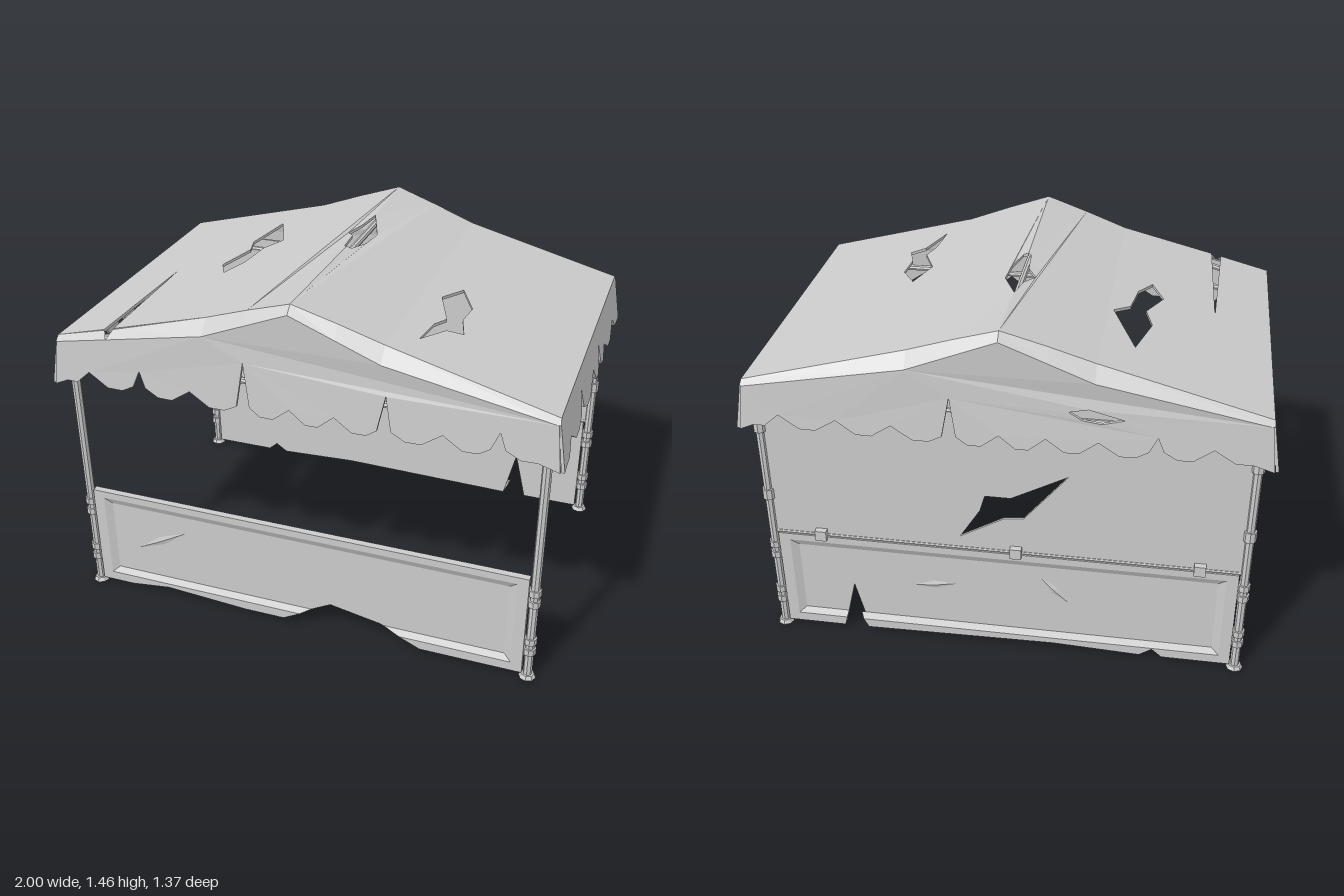
import * as THREE from 'three';

const mat = new THREE.MeshStandardMaterial({ color: 0xcccccc, flatShading: true, side: THREE.DoubleSide });
const V = (x, y, z) => new THREE.Vector3(x, y, z);
const vec2 = (pts) => pts.map(([x, y]) => new THREE.Vector2(x, y));

function add(parent, name, geometry) {
  const mesh = new THREE.Mesh(geometry, mat);
  mesh.name = name;
  parent.add(mesh);
  return mesh;
}

// Thin sheet cut from an outline with holes, then bent by map(u, v, w) -> [x, y, z]
function sheet(outline, holes, depth, map) {
  const shape = new THREE.Shape(vec2(outline));
  holes.forEach((h) => shape.holes.push(new THREE.Path(vec2(h))));
  const g = new THREE.ExtrudeGeometry(shape, { depth, bevelEnabled: false });
  const p = g.attributes.position;
  for (let i = 0; i < p.count; i++) p.setXYZ(i, ...map(p.getX(i), p.getY(i), p.getZ(i)));
  g.computeVertexNormals();
  return g;
}

// Ribbon of quads between two paths of [x, y, z]
function ribbon(a, b) {
  const pos = [];
  for (let i = 0; i < a.length - 1; i++) pos.push(...a[i], ...b[i], ...b[i + 1], ...a[i], ...b[i + 1], ...a[i + 1]);
  const g = new THREE.BufferGeometry();
  g.setAttribute('position', new THREE.Float32BufferAttribute(pos, 3));
  g.computeVertexNormals();
  return g;
}

// Round bar between two points
function bar(parent, name, a, b, r) {
  const d = b.clone().sub(a);
  const m = add(parent, name, new THREE.CylinderGeometry(r, r, d.length(), 8));
  m.position.copy(a).addScaledVector(d, 0.5);
  m.quaternion.setFromUnitVectors(V(0, 1, 0), d.normalize());
}

// Piecewise linear value through [x, value] stations, symmetric in x
function along(stations, x) {
  const a = Math.abs(x);
  let i = 1;
  while (i < stations.length - 1 && a > stations[i][0]) i++;
  const [x0, y0] = stations[i - 1], [x1, y1] = stations[i];
  return y0 + ((y1 - y0) * (a - x0)) / (x1 - x0);
}
const roofY = (x) => along([[0, 1.46], [0.17, 1.405], [0.34, 1.345], [0.965, 1.18]], x);
const gableY = (x) => along([[0, 1.43], [0.17, 1.36], [0.34, 1.29], [0.965, 1.16]], x);
const gableZ = (x) => along([[0, 0.67], [0.5, 0.66], [0.965, 0.645]], x);
const roofZ = (x) => along([[0, 0.645], [0.34, 0.62], [0.965, 0.63]], x);

// Scalloped lower edge; notches are [u, y, isTear], returned left to right
function scallops(half, yEnd, yLow, notches) {
  const stops = [[-half, yEnd], ...notches, [half, yEnd]];
  const pts = [];
  stops.forEach(([u, y, tear], i) => {
    if (tear) pts.push([u - 0.03, yLow + 0.025], [u, y], [u + 0.022, yLow + 0.03]);
    else pts.push([u, y]);
    const next = stops[i + 1];
    if (next) for (const t of [0.36, 0.64]) pts.push([u + (next[0] - u) * t, yLow]);
  });
  return pts;
}

// Gable cloth with hanging scallops, in the frame of its own face
function gable(tears, holes) {
  const notches = [-0.83, -0.61, -0.4, -0.18, 0.0, 0.17, 0.36, 0.57, 0.77]
    .map((u) => [u, tears[u] ?? 1.055, u in tears]);
  const top = [0.965, 0.34, 0.17, 0, -0.17, -0.34, -0.965].map((x) => [x, gableY(x)]);
  return sheet([...scallops(0.985, 0.98, 1.005, notches), ...top], holes, 0.012,
    (u, v, w) => [u, v, gableZ(u) + w - 0.006 + 0.012 * Math.max(0, (1.16 - v) / 0.18)]);
}

// Recessed board with a broken lower edge; gap is where the frame is broken through
function board(parent, name, bottom, gap, dents) {
  const g = new THREE.Group();
  g.name = name;
  parent.add(g);
  const [g0, g1] = gap;
  const flat = (z) => (u, v, w) => [u, v, w + z];
  add(g, 'boardPlate', sheet([[-0.91, 0.02], ...bottom, [0.91, 0.02], [0.91, 0.47], [-0.91, 0.47]], [], 0.012, flat(0.588)));
  const inner = [[g0[1], 0.06], [-0.865, 0.06], [-0.865, 0.44], [0.865, 0.44], [0.865, 0.06], [g1[1], 0.06]];
  const deep = [[g0[2], 0.085], [-0.835, 0.085], [-0.835, 0.41], [0.835, 0.41], [0.835, 0.085], [g1[2], 0.085]];
  const left = bottom.filter((p) => p[0] < g0[0]), right = bottom.filter((p) => p[0] > g1[0]);
  add(g, 'boardFrame', sheet([[-0.91, 0.47], [-0.91, 0.02], ...left, [g0[0], 0.02], ...inner,
    [g1[0], 0.02], ...right, [0.91, 0.02], [0.91, 0.47]], [], 0.016, flat(0.6)));
  add(g, 'boardBevel', ribbon(inner.map((p) => [...p, 0.616]), deep.map((p) => [...p, 0.6005])));
  for (const [x, y, len, tilt] of dents) {
    const d = add(g, 'dent', new THREE.OctahedronGeometry(1));
    d.scale.set(len, 0.018, 0.006);
    d.rotation.z = tilt;
    d.position.set(x, y, 0.6);
  }
  return g;
}

export function createModel() {
  const model = new THREE.Group();
  model.name = 'marketTent';
  const canopy = new THREE.Group();
  canopy.name = 'canopy';
  model.add(canopy);

  // Roof strips [x0, x1, holes, right edge cuts, left edge cuts, front edge cuts], points in [x, z]
  const holeA = [[-0.46, -0.42], [-0.36, -0.18], [-0.42, -0.11], [-0.44, 0.04], [-0.49, 0.14], [-0.54, 0.04], [-0.48, -0.11], [-0.51, -0.21]];
  const holeC = [[0.465, 0.01], [0.53, 0.13], [0.52, 0.24], [0.55, 0.34], [0.49, 0.36], [0.425, 0.49], [0.44, 0.35], [0.47, 0.28], [0.41, 0.13]];
  const strips = [
    [-0.965, -0.34, [holeA], [], [], [[-0.762, 0.63], [-0.745, 0.04], [-0.722, 0.63]]],
    [-0.34, -0.17, [], [], [], []],
    [-0.17, 0, [], [[0, 0.05], [-0.012, 0.04], [-0.02, -0.08], [-0.055, -0.13], [-0.02, -0.2], [0, -0.31]], [], []],
    [0, 0.17, [], [], [[0, -0.31], [0.06, -0.15], [0.05, -0.04], [0.02, 0.05], [0, 0.05]], []],
    [0.17, 0.34, [], [], [], []],
    [0.34, 0.965, [holeC], [], [], []],
  ];
  const flip = (pts) => pts.map(([x, z]) => [x, -z]);
  for (const [x0, x1, holes, rightCut, leftCut, frontCut] of strips) {
    const outline = [[x0, roofZ(x0)], ...frontCut, [x1, roofZ(x1)], ...rightCut, [x1, -roofZ(x1)], [x0, -roofZ(x0)], ...leftCut];
    const sag = (x, z) => (Math.abs(x) < 0.1 && Math.abs(z) < 0.4 ? 0.012 : 0);
    add(canopy, 'roofCloth', sheet(flip(outline), holes.map(flip), 0.012,
      (u, v, w) => [u, roofY(u) + w - 0.012 - sag(u, v), -v]));
  }

  // Sloping hem between roof and gables, open at the front slit
  const hem = (tops, bottoms) => ribbon(tops.map((x) => [x, roofY(x), roofZ(x)]),
    bottoms.map((x) => [x, gableY(x), gableZ(x) + 0.006]));
  const xs = [-0.722, -0.34, -0.17, 0, 0.17, 0.34, 0.965];
  add(canopy, 'frontHem', hem([-0.965, -0.762], [-0.965, -0.745]));
  add(canopy, 'frontHem', hem(xs, [-0.745, ...xs.slice(1)]));
  const backXs = [-0.965, ...xs.slice(1)];
  add(canopy, 'backHem', hem(backXs, backXs)).rotation.y = Math.PI;

  // Gable cloths
  add(canopy, 'frontGable', gable({ '-0.61': 1.1, '-0.18': 1.21, 0.36: 1.17, 0.77: 1.1 }, []));
  const rip = [[0.25, 1.17], [0.32, 1.185], [0.45, 1.15], [0.37, 1.13], [0.3, 1.14]];
  add(canopy, 'backGable', gable({ '-0.18': 1.19, 0.57: 1.09 }, [rip])).rotation.y = Math.PI;

  // Side valances
  const sideNotches = [[-0.5, 1.04], [-0.26, 1.095, true], [0, 1.05], [0.14, 1.1, true], [0.27, 1.035], [0.5, 1.04]];
  for (const s of [1, -1]) {
    const outline = [...scallops(0.655, 0.98, 0.985, sideNotches), [0.645, 1.16], [0.63, 1.18], [-0.63, 1.18], [-0.645, 1.16]];
    add(canopy, s > 0 ? 'leftValance' : 'rightValance', sheet(outline, [], 0.012,
      (u, v, w) => [u, v, 0.955 + w + 0.165 * (1.18 - v)])).rotation.y = (s * Math.PI) / 2;
  }

  // Poles with feet and clamp rings
  for (const sx of [1, -1]) for (const sz of [1, -1]) {
    const pole = new THREE.Group();
    pole.name = (sz > 0 ? 'front' : 'back') + (sx > 0 ? 'Left' : 'Right') + 'Pole';
    pole.position.set(sx * 0.932, 0, sz * 0.602);
    model.add(pole);
    bar(pole, 'tube', V(0, 0, 0), V(0, 1.16, 0), 0.018);
    add(pole, 'foot', new THREE.CylinderGeometry(0.026, 0.034, 0.016, 8)).position.y = 0.008;
    const rings = [0.13, 0.18, 0.36, 0.41, ...(sz < 0 ? [0.655, 0.965] : [])];
    for (const y of rings)
      add(pole, 'clampRing', new THREE.CylinderGeometry(0.025, 0.025, y > 0.6 ? 0.045 : 0.028, 8)).position.y = y;
  }

  // Frame bars under the canopy
  for (const z of [0.602, -0.602]) {
    bar(model, 'crossBar', V(-0.93, 1.1, z), V(0.93, 1.1, z), 0.013);
    for (const s of [1, -1]) bar(model, 'rafter', V(s * 0.93, 1.14, z), V(0, 1.41, z), 0.013);
  }
  bar(model, 'ridgeBar', V(0, 1.41, -0.6), V(0, 1.41, 0.6), 0.013);

  // Front counter board and back lower board
  board(model, 'frontBoard',
    [[-0.77, 0.02], [-0.6, 0.042], [-0.25, 0.02], [-0.08, 0.02], [0.12, 0.13], [0.33, 0.09], [0.5, 0.02]],
    [[-0.08, -0.008, 0.038], [0.5, 0.413, 0.345]], [[-0.62, 0.27, 0.13, 0.5]]);
  board(model, 'backBoard',
    [[-0.67, 0.02], [-0.62, 0.23], [-0.57, 0.02], [0.2, 0.035], [0.55, 0.02], [0.6, 0.055], [0.64, 0.02]],
    [[-0.67, -0.66, -0.654], [-0.57, -0.59, -0.6]],
    [[-0.28, 0.27, 0.09, 0.15], [0.2, 0.3, 0.08, -0.8]]).rotation.y = Math.PI;

  // Torn upper back wall with its rail and clips
  const tear = [[-0.25, 0.85], [-0.03, 0.73], [0.07, 0.73], [0.09, 0.66], [0.17, 0.53], [0, 0.63], [-0.08, 0.64]];
  add(model, 'backWall', sheet([[-0.92, 0.47], [0.92, 0.47], [0.92, 1.15], [-0.92, 1.15]], [tear], 0.01,
    (u, v, w) => [u, v, w - 0.607]));
  bar(model, 'backRail', V(-0.92, 0.474, -0.602), V(0.92, 0.474, -0.602), 0.009);
  for (const x of [-0.76, -0.05, 0.73])
    add(model, 'railClip', new THREE.BoxGeometry(0.045, 0.045, 0.06)).position.set(x, 0.482, -0.602);

  return model;
}
